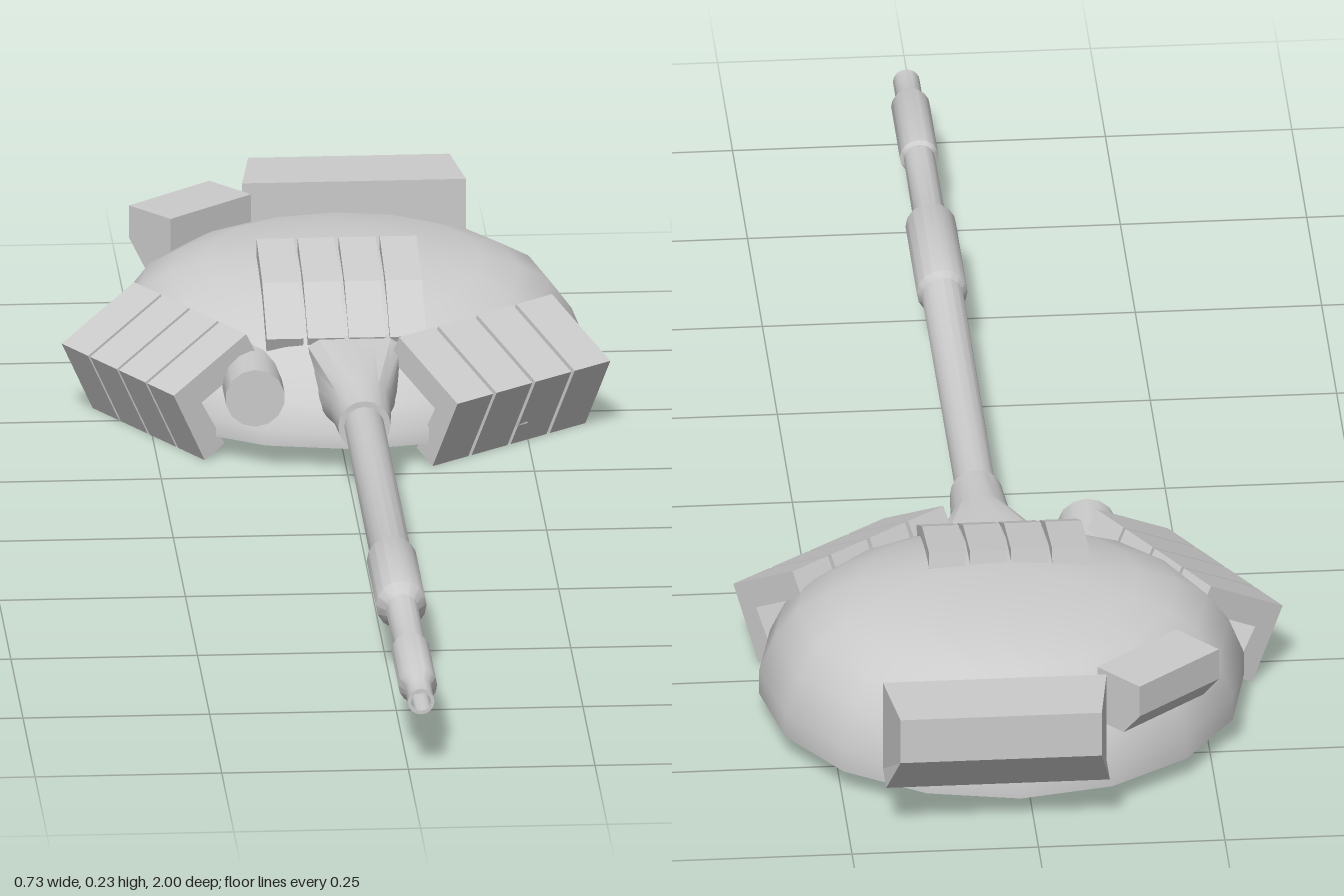
import * as THREE from 'three';
import { toCreasedNormals } from 'three/addons/utils/BufferGeometryUtils.js';

const AXIS_X = 0.017, AXIS_Y = 0.095, DOME_Z = -0.592;
const material = new THREE.MeshStandardMaterial({ color: 0xcccccc, side: THREE.DoubleSide });

function add(parent, name, geometry) {
  const mesh = new THREE.Mesh(geometry, material);
  mesh.name = name;
  parent.add(mesh);
  return mesh;
}

// Skin a surface over closed rings of equal point count
function loft(rings) {
  const n = rings[0].length, pos = rings.flat(2), index = [];
  for (let i = 0; i < rings.length - 1; i++) {
    for (let j = 0; j < n; j++) {
      const k = (j + 1) % n, a = i * n, b = a + n;
      index.push(a + j, a + k, b + j, a + k, b + k, b + j);
    }
  }
  const g = new THREE.BufferGeometry();
  g.setAttribute('position', new THREE.Float32BufferAttribute(pos, 3));
  g.setIndex(index);
  return g;
}

const ring = (n, point) => Array.from({ length: n }, (_, j) => point((j / n) * Math.PI * 2));

function extrude(points, depth) {
  const shape = new THREE.Shape(points.map(([x, y]) => new THREE.Vector2(x, y)));
  return new THREE.ExtrudeGeometry(shape, { depth, bevelEnabled: false });
}

// Open cast dome: [radius, side/rear height, front height], front is more sloped
function dome() {
  const profile = [
    [0.325, 0.03, 0.03], [0.325, 0.065, 0.05], [0.305, 0.115, 0.082], [0.275, 0.155, 0.112],
    [0.235, 0.178, 0.142], [0.185, 0.195, 0.172], [0.1, 0.204, 0.199], [0.001, 0.21, 0.21],
  ];
  return toCreasedNormals(loft(profile.map(([r, rear, front]) => ring(16, (a) => {
    const f = Math.max(0, Math.cos(a));
    return [AXIS_X + r * Math.sin(a), rear + (front - rear) * f, DOME_Z + r * Math.cos(a)];
  }))), 0.9);
}

// Mantlet: flattened block at the rear blending to a round collar
function mantlet() {
  const block = (z, s) => ring(20, (a) => {
    const c = Math.cos(a), v = Math.sin(a);
    const x = 0.062 * Math.max(-1, Math.min(1, 1.3 * c));
    const y = v > 0 ? 0.058 * Math.min(1, 1.4 * v) : 0.043 * v;
    return [AXIS_X + x * s, AXIS_Y + y * s, z];
  });
  const round = (z, r) => ring(20, (a) => [AXIS_X + r * Math.cos(a), AXIS_Y + r * Math.sin(a), z]);
  return toCreasedNormals(loft([
    block(-0.43, 0.001), block(-0.43, 1), block(-0.36, 1),
    round(-0.25, 0.041), round(-0.17, 0.035), round(-0.17, 0.001),
  ]), 0.6);
}

// Stepped gun tube with a hollow muzzle
function barrel() {
  const steps = [
    [0.027, -0.2], [0.028, 0.39], [0.034, 0.4], [0.034, 0.59], [0.022, 0.61], [0.021, 0.78],
    [0.026, 0.785], [0.026, 0.93], [0.018, 0.95], [0.018, 1], [0.013, 1], [0.013, 0.93], [0, 0.93],
  ];
  const g = new THREE.LatheGeometry(steps.map(([r, y]) => new THREE.Vector2(r, y)), 16);
  g.rotateX(Math.PI / 2);
  return toCreasedNormals(g, 0.6);
}

// Row of four bent armour bricks; the section faces outward along the local x axis
function brickRow(name, section, start, angle, width, pitch) {
  const row = new THREE.Group();
  row.name = name;
  for (let i = 0; i < 4; i++) {
    add(row, 'armourBrick', extrude(section, width)).position.z = i * pitch;
  }
  row.position.set(...start);
  row.rotation.y = angle;
  return row;
}

export function createModel() {
  const group = new THREE.Group();
  group.name = 'gunTurret';

  add(group, 'dome', dome());
  add(group, 'mantlet', mantlet());
  add(group, 'gunBarrel', barrel()).position.set(AXIS_X, AXIS_Y, 0);

  // Searchlight beside the gun
  const lamp = new THREE.CylinderGeometry(0.04, 0.04, 0.15, 14);
  lamp.rotateX(Math.PI / 2);
  add(group, 'searchlight', toCreasedNormals(lamp, 0.6)).position.set(-0.122, 0.1, -0.357);

  // Chevron armour on both cheeks
  const chevron = [[-0.05, 0], [0, 0.1], [-0.117, 0.165], [-0.135, 0.132], [-0.045, 0.082], [-0.082, 0.018]];
  group.add(brickRow('leftCheekArmour', chevron, [0.362, 0, -0.41],
    Math.atan2(-0.787, 0.617), 0.064, 0.07));
  group.add(brickRow('rightCheekArmour', chevron, [-0.23, 0, -0.3],
    Math.atan2(-0.506, -0.862), 0.063, 0.068));

  // Shallow armour on the roof
  const roof = [[-0.365, 0.155], [-0.46, 0.203], [-0.578, 0.226], [-0.583, 0.201], [-0.467, 0.178], [-0.376, 0.132]];
  group.add(brickRow('roofArmour', roof, [0.064, 0, 0], -Math.PI / 2, 0.049, 0.055));
  group.getObjectByName('roofArmour').position.x = 0.113;

  // Rear stowage box with chamfered underside, narrowing towards the back
  const boxSection = [[0, 0.07], [0.055, 0.07], [0.108, 0.135], [0.108, 0.2], [0, 0.2]];
  const box = extrude(boxSection, 0.3);
  const p = box.attributes.position;
  for (let i = 0; i < p.count; i++) {
    if (p.getX(i) > 0.1) p.setZ(i, 0.15 + (p.getZ(i) - 0.15) * 0.9);
  }
  box.computeVertexNormals();
  const rear = add(group, 'rearStowageBox', box);
  rear.rotation.y = Math.PI / 2;
  rear.position.set(-0.1, 0, -0.892);

  // Small bin on the right rear quarter
  const binSection = [[0, 0.115], [0.05, 0.115], [0.08, 0.15], [0.08, 0.195], [0, 0.195]];
  const bin = add(group, 'sideBin', extrude(binSection, 0.15));
  bin.rotation.y = Math.atan2(0.76, -0.65);
  bin.position.set(-0.204, 0, -0.763);

  return group;
}
